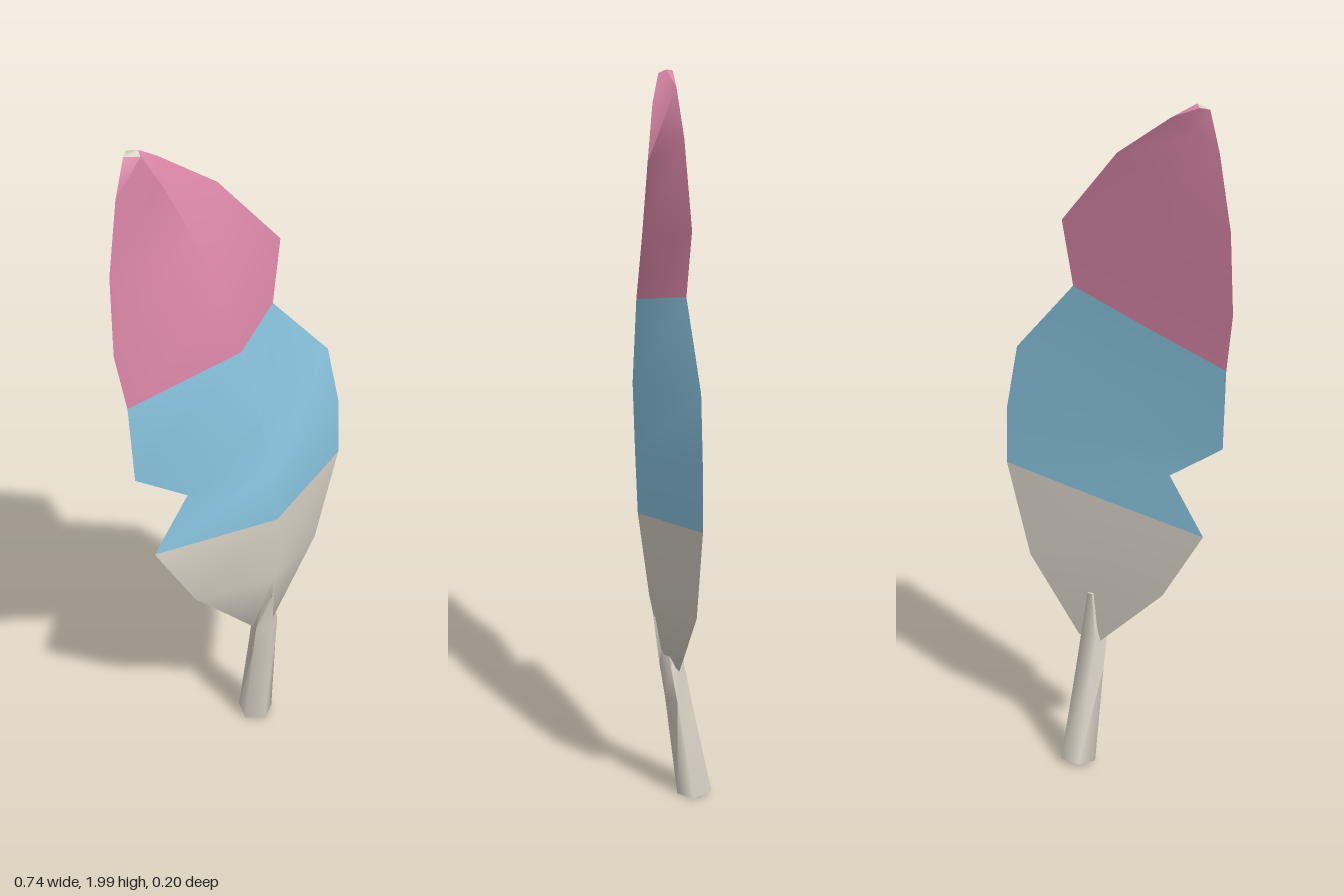
import * as THREE from 'three';
import { toCreasedNormals } from 'three/addons/utils/BufferGeometryUtils.js';

const mat = (name, color) => new THREE.MeshStandardMaterial({ name, color });

// Skin a stack of equal-sized rings (listed top to bottom), capped at both ends.
// bands: [first row, last row, material index]
function loft(rings, bands, capMaterial, crease) {
  const n = rings[0].length;
  const index = [];
  const g = new THREE.BufferGeometry();
  g.setAttribute('position', new THREE.Float32BufferAttribute(rings.flat(2), 3));
  const last = (rings.length - 1) * n;
  for (const [from, to, m] of bands) {
    const start = index.length;
    for (let r = from; r < to; r++) {
      for (let i = 0; i < n; i++) {
        const j = (i + 1) % n;
        const a = r * n + i, b = r * n + j, c = a + n, d = b + n;
        index.push(c, d, b, c, b, a);
      }
    }
    g.addGroup(start, index.length - start, m);
  }
  const start = index.length;
  for (let i = 1; i < n - 1; i++) {
    index.push(0, i, i + 1);
    index.push(last, last + i + 1, last + i);
  }
  g.addGroup(start, index.length - start, capMaterial);
  g.setIndex(index);
  return toCreasedNormals(g, crease);
}

export function createModel() {
  const group = new THREE.Group();
  group.name = 'feather';
  const cream = mat('cream', 0xdcd5c9);
  const blue = mat('blue', 0x8cc8e4);
  const pink = mat('pink', 0xdc88a8);

  // Vane sections: left edge, front ridge, right edge; the back is nearly flat
  const sections = [
    [[-0.305, 1.985, -0.05], [-0.272, 1.985, -0.025], [-0.265, 1.995, -0.045]],
    [[-0.333, 1.88, -0.048], [-0.23, 1.91, 0.0], [-0.2, 1.955, -0.06]],
    [[-0.365, 1.68, -0.04], [-0.16, 1.76, 0.028], [-0.03, 1.84, -0.045]],
    [[-0.37, 1.46, -0.028], [-0.09, 1.57, 0.058], [0.157, 1.63, -0.025]],
    [[-0.345, 1.3, -0.012], [-0.05, 1.41, 0.082], [0.128, 1.45, -0.017]],
    [[-0.335, 1.075, -0.004], [0.0, 1.19, 0.103], [0.32, 1.24, -0.014]],
    [[-0.17, 0.96, 0.0], [0.04, 1.01, 0.105], [0.362, 1.05, -0.01]],
    [[-0.28, 0.805, -0.004], [0.06, 0.838, 0.102], [0.367, 0.88, -0.01]],
    [[-0.15, 0.59, 0.0], [0.07, 0.6, 0.073], [0.29, 0.61, -0.012]],
    [[0.055, 0.39, 0.0], [0.09, 0.42, 0.04], [0.13, 0.39, 0.0]],
  ];
  const rings = sections.map(([l, f, r], k) => {
    const back = l.map((v, i) => (v + r[i]) / 2);
    back[2] -= k === 0 ? 0.02 : 0.004;
    return [l, f, r, back];
  });
  const vane = new THREE.Mesh(
    loft(rings, [[0, 4, 1], [4, 7, 2], [7, 9, 0]], 0, 0.95),
    [cream, pink, blue]);
  vane.name = 'vane';
  group.add(vane);

  // Five-sided quill, flattening to a wedge that pokes through the vane
  const quillRing = (x, y, z, rx, rz, tilt) => Array.from({ length: 5 }, (_, i) => {
    const a = Math.PI + (i * 2 * Math.PI) / 5 + Math.PI / 10;
    return [x + rx * Math.cos(a), y + tilt * Math.sin(a), z - rz * Math.sin(a)];
  });
  const quill = new THREE.Mesh(loft([
    quillRing(0.082, 0.54, 0.02, 0.013, 0.044, 0),
    quillRing(0.088, 0.4, 0.012, 0.041, 0.036, 0),
    quillRing(0.092, 0.3, -0.005, 0.044, 0.038, 0),
    quillRing(0.104, 0.01, -0.051, 0.053, 0.051, 0.008),
  ], [[0, 3, 0]], 0, 1.35), [cream]);
  quill.name = 'quill';
  group.add(quill);
  return group;
}
